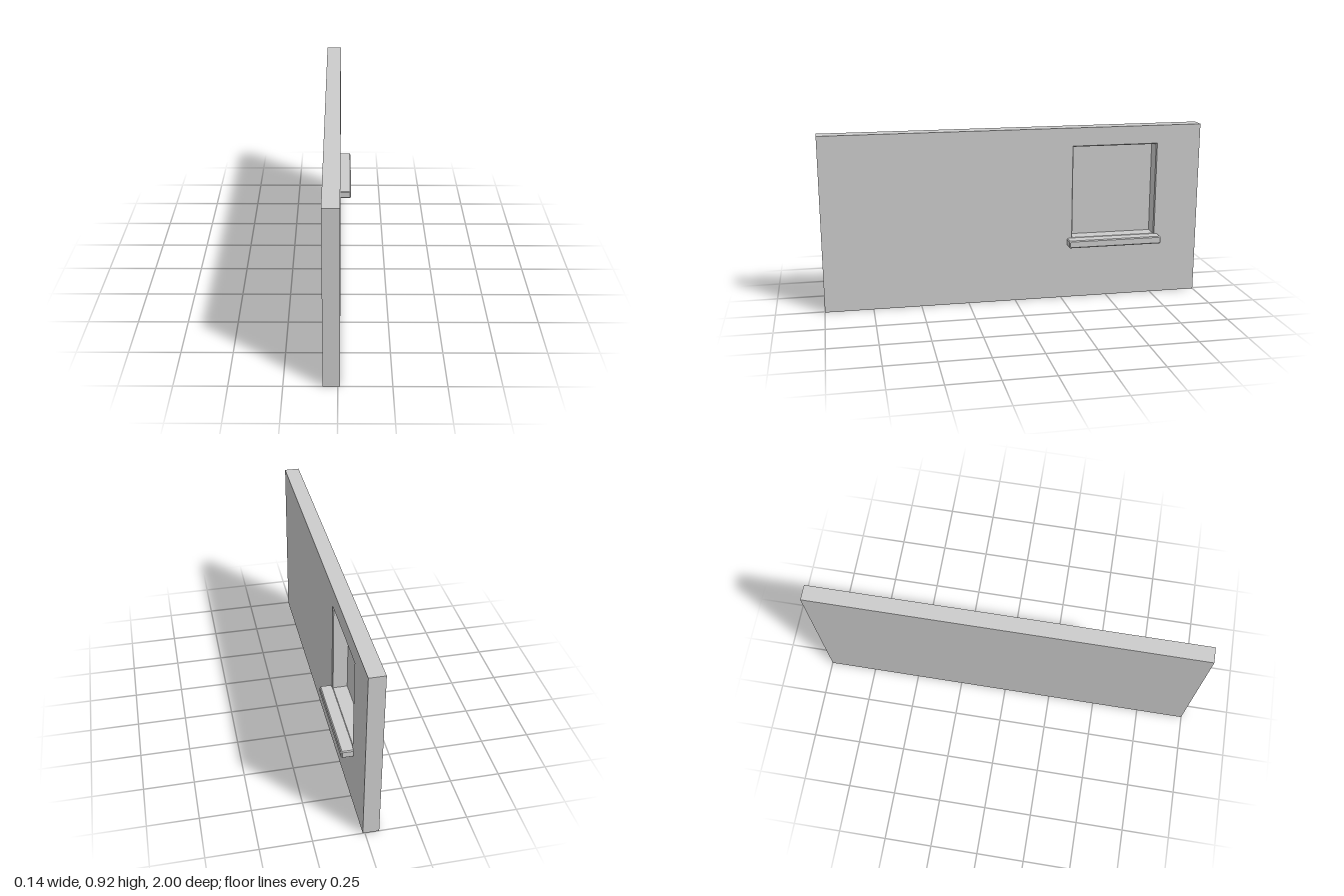
import * as THREE from 'three';

// Rectangle across the wall at depth x, counter-clockwise seen from +x; c clips its corners
function ring(x, z0, z1, y0, y1, c = 0) {
  const pts = c
    ? [[z1 - c, y0], [z0 + c, y0], [z0, y0 + c], [z0, y1 - c],
       [z0 + c, y1], [z1 - c, y1], [z1, y1 - c], [z1, y0 + c]]
    : [[z1, y0], [z0, y0], [z0, y1], [z1, y1]];
  return pts.map(([z, y]) => new THREE.Vector3(x, y, z));
}

// Skin a sequence of rings and close both ends, with flat normals
function loft(rings) {
  const tris = [];
  const n = rings[0].length;
  for (let r = 0; r < rings.length - 1; r++) {
    const a = rings[r], b = rings[r + 1];
    for (let i = 0; i < n; i++) {
      const j = (i + 1) % n;
      tris.push(a[i], a[j], b[j], a[i], b[j], b[i]);
    }
  }
  const first = rings[0], last = rings[rings.length - 1];
  for (let i = 1; i < n - 1; i++) {
    tris.push(first[0], first[i + 1], first[i], last[0], last[i], last[i + 1]);
  }
  const geometry = new THREE.BufferGeometry().setFromPoints(tris);
  geometry.computeVertexNormals();
  return geometry;
}

export function createModel() {
  const group = new THREE.Group();
  const material = new THREE.MeshStandardMaterial({ color: 0xcccccc, flatShading: true });
  const add = (name, geometry) => {
    const mesh = new THREE.Mesh(geometry, material);
    mesh.name = name;
    group.add(mesh);
  };

  const back = -0.069, front = 0.01, bevel = 0.005;
  const opening = (x, inset) =>
    ring(x, -0.765 + inset, -0.305 - inset, 0.325 + inset, 0.825 - inset);

  // Wall slab with a deep window recess and a small chamfer round its mouth
  add('wallWithWindowRecess', loft([
    ring(back, -1, 1, 0, 0.92),
    ring(front, -1, 1, 0, 0.92),
    opening(front, 0),
    opening(front - bevel, bevel),
    opening(back + 0.001, bevel),
  ]));

  // Projecting sill with chamfered edges
  const sill = (x, inset) =>
    ring(x, -0.785 + inset, -0.28 - inset, 0.288 + inset, 0.328 - inset, bevel);
  add('windowSill', loft([sill(front - 0.002, 0), sill(0.064, 0), sill(0.069, bevel)]));

  return group;
}
